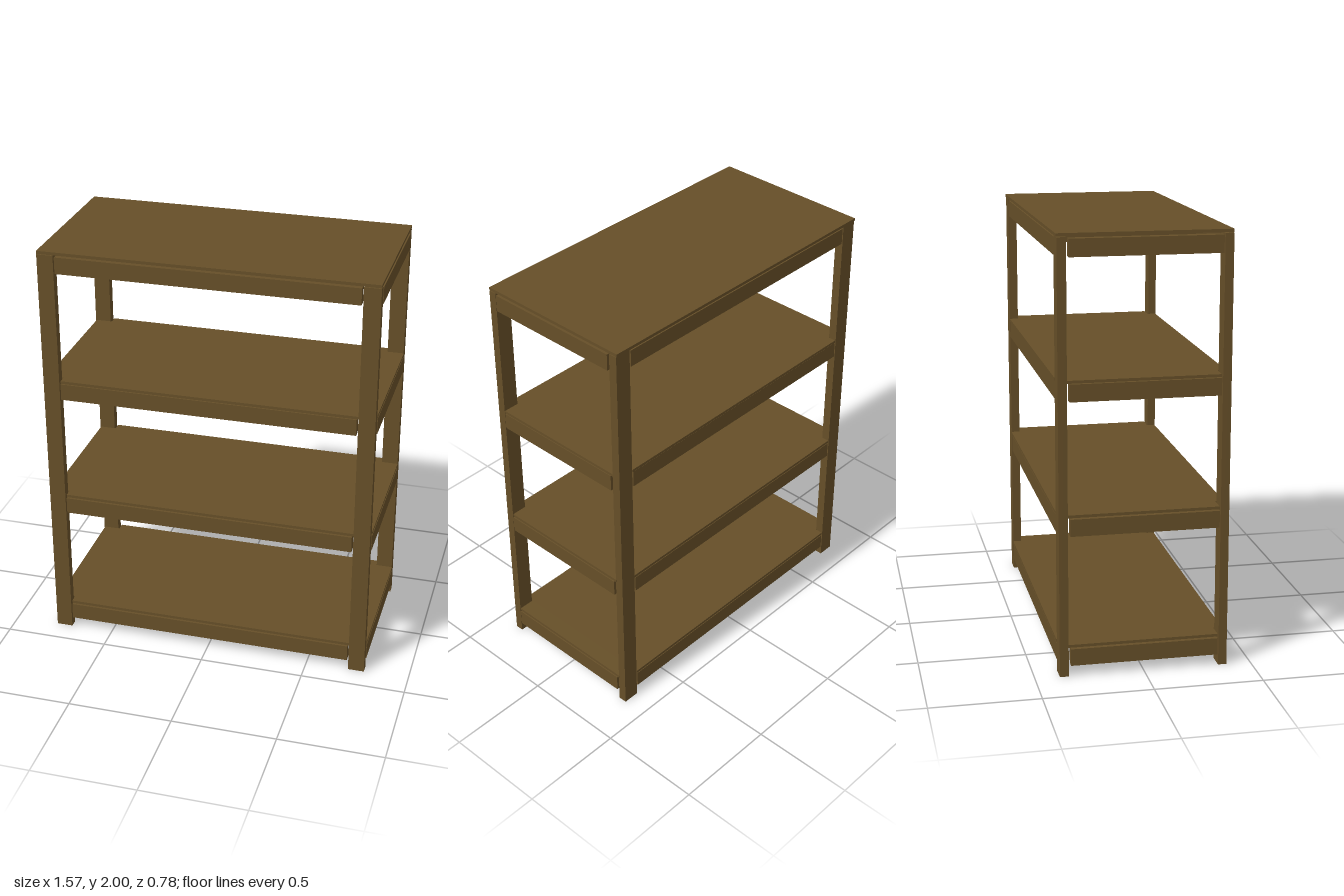
import * as THREE from 'three';

const wood = new THREE.MeshStandardMaterial({ color: 0x664f28, roughness: 0.9 });

// Box given by its limits on each axis
function board(name, [x0, x1], [y0, y1], [z0, z1]) {
  const mesh = new THREE.Mesh(new THREE.BoxGeometry(x1 - x0, y1 - y0, z1 - z0), wood);
  mesh.position.set((x0 + x1) / 2, (y0 + y1) / 2, (z0 + z1) / 2);
  mesh.name = name;
  return mesh;
}

// Thin panel with its four corners cut out around the legs
function notchedPanel(y0, y1) {
  const x = 0.784, z = 0.386, nx = 0.704, nz = 0.346;
  const outline = [
    [-nx, -z], [nx, -z], [nx, -nz], [x, -nz], [x, nz], [nx, nz],
    [nx, z], [-nx, z], [-nx, nz], [-x, nz], [-x, -nz], [-nx, -nz],
  ].map(([a, b]) => new THREE.Vector2(a, b));
  const geometry = new THREE.ExtrudeGeometry(new THREE.Shape(outline), { depth: y1 - y0, bevelEnabled: false });
  geometry.rotateX(-Math.PI / 2);
  const mesh = new THREE.Mesh(geometry, wood);
  mesh.position.set(0.001, y0, -0.002);
  mesh.name = 'shelfPanel';
  return mesh;
}

export function createModel() {
  const model = new THREE.Group();
  model.name = 'shelvingUnit';

  // Four flat legs, wide side to the front
  for (const [side, xs] of [['Left', [0.706, 0.784]], ['Right', [-0.787, -0.709]]]) {
    model.add(board('front' + side + 'Leg', xs, [0, 1.983], [0.348, 0.387]));
    model.add(board('back' + side + 'Leg', xs, [0, 1.983], [-0.387, -0.346]));
  }

  // Shelves: frame bottom, panel top and the two joist centres
  const levels = [
    [0.05, 0.149, [-0.225, 0.258]],
    [0.659, 0.757, [-0.24, 0.245]],
    [1.268, 1.363, [-0.25, 0.24]],
    [1.897, 2.0, [-0.27, 0.235]],
  ];
  levels.forEach(([bottom, top, joists], i) => {
    const shelf = new THREE.Group();
    shelf.name = 'shelf' + (i + 1);
    const ys = [bottom, bottom + 0.079];

    // Long rails between the legs, short rails flush with the ends
    shelf.add(board('frontRail', [-0.704, 0.698], ys, [0.347, 0.386]));
    shelf.add(board('backRail', [-0.704, 0.698], ys, [-0.386, -0.347]));
    shelf.add(board('leftRail', [0.747, 0.786], ys, [-0.335, 0.344]));
    shelf.add(board('rightRail', [-0.787, -0.748], ys, [-0.335, 0.344]));

    // Cross joists, hanging slightly below the rails
    for (const x of joists) {
      shelf.add(board('joist', [x - 0.019, x + 0.019], [bottom - 0.003, bottom + 0.078], [-0.345, 0.345]));
    }

    // The top panel covers the legs, the others fit around them
    shelf.add(i === 3
      ? board('topPanel', [-0.787, 0.784], [1.986, top], [-0.391, 0.387])
      : notchedPanel(top - 0.013, top));
    model.add(shelf);
  });

  return model;
}
